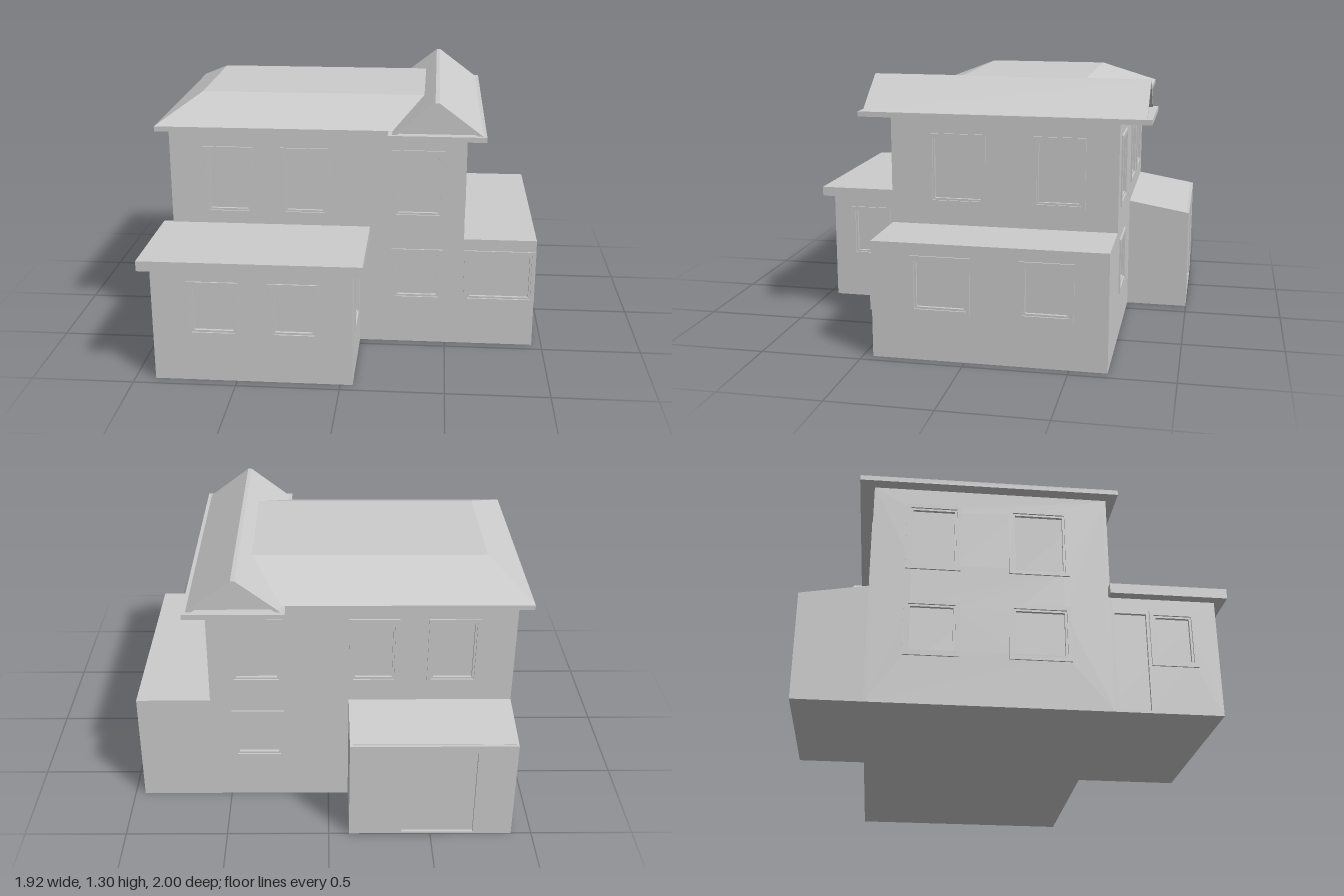
import * as THREE from 'three';

const material = new THREE.MeshStandardMaterial({ color: 0xcccccc, flatShading: true });
const DEPTH = 0.015; // thickness of the wall skin, and depth of window recesses

// Facing angles. Horizontal axis u of a wall: front x, back -x, left(+x) -z, right(-x) z
const FRONT = 0, BACK = Math.PI, LEFT = Math.PI / 2, RIGHT = -Math.PI / 2;

const rect = (u0, u1, v0, v1) => [[u0, v0], [u1, v0], [u1, v1], [u0, v1]];
const inset = ([u0, u1, v0, v1], d) => rect(u0 + d, u1 - d, v0 + d, v1 - d);
const toPoints = (pts) => pts.map(([u, v]) => new THREE.Vector2(u, v));

export function createModel() {
  const house = new THREE.Group();
  house.name = 'house';

  // Outline extruded along the facing direction, from distance a to distance b
  function prism(name, outline, facing, a, b, holes = []) {
    const shape = new THREE.Shape(toPoints(outline));
    for (const h of holes) shape.holes.push(new THREE.Path(toPoints(h)));
    const geometry = new THREE.ExtrudeGeometry(shape, { depth: b - a, bevelEnabled: false });
    geometry.translate(0, 0, a).rotateY(facing);
    const mesh = new THREE.Mesh(geometry, material);
    mesh.name = name;
    house.add(mesh);
  }

  function box(name, x0, x1, y0, y1, z0, z1) {
    const geometry = new THREE.BoxGeometry(x1 - x0, y1 - y0, z1 - z0);
    geometry.translate((x0 + x1) / 2, (y0 + y1) / 2, (z0 + z1) / 2);
    const mesh = new THREE.Mesh(geometry, material);
    mesh.name = name;
    house.add(mesh);
    return mesh;
  }

  // Wall skin with recessed windows and doors; each window gets a raised frame
  function wall(name, outline, facing, distance, windows = [], doors = []) {
    const holes = [...windows.map((w) => inset(w, 0.03)), ...doors.map((d) => rect(...d))];
    prism(name, outline, facing, distance - DEPTH, distance, holes);
    for (const w of windows) {
      prism('windowFrame', inset(w, 0), facing, distance - 0.002, distance + 0.008, [inset(w, 0.02)]);
    }
  }

  const UP = [0.68, 1.035], LOW = [0.235, 0.515];
  const columns = [[-0.73, -0.48], [-0.34, -0.1], [0.22, 0.48]];
  const sides = [[-0.52, -0.26], [-0.03, 0.26]];
  const row = (spans, heights) => spans.map((s) => [...s, ...heights]);
  const flip = (spans) => spans.map(([a, b]) => [-b, -a]);

  // Main two-storey block
  box('mainCore', -0.9 + DEPTH, 0.585 - DEPTH, 0, 1.12, -0.68 + DEPTH, 0.45 - DEPTH);
  wall('frontWall', rect(-0.9, 0.585, 0, 1.12), FRONT, 0.45,
    [...row(columns, UP), ...row([columns[2]], LOW)]);
  wall('backWall', rect(-0.585, 0.9, 0, 1.12), BACK, 0.68,
    [...row(flip(columns), UP), ...row(flip([columns[2]]), LOW)]);
  wall('leftWall', rect(-0.45, 0.68, 0, 1.12), LEFT, 0.585, row(flip(sides), UP));
  wall('rightWall', rect(-0.68, 0.45, 0, 1.12), RIGHT, 0.9, [...row(sides, UP), ...row(sides, LOW)]);

  // Single-storey front wing with its overhanging flat roof
  box('frontWingCore', -0.9 + DEPTH, 0.06 - DEPTH, 0, 0.58, 0.4, 0.95 - DEPTH);
  wall('frontWingFront', rect(-0.9, 0.06, 0, 0.58), FRONT, 0.95, row(columns.slice(0, 2), LOW));
  wall('frontWingLeft', rect(-0.95, -0.45, 0, 0.58), LEFT, 0.06, [[-0.85, -0.63, ...LOW]]);
  wall('frontWingRight', rect(0.45, 0.95, 0, 0.58), RIGHT, 0.9,
    [[0.63, 0.85, ...LOW]], [[0.465, 0.615, 0.01, 0.5]]);
  box('frontWingRoof', -0.95, 0.11, 0.58, 0.63, 0.44, 1);

  // Single-storey side wing
  box('sideWingCore', 0.5, 0.95 - DEPTH, 0, 0.575, -0.68 + DEPTH, 0.45 - DEPTH);
  wall('sideWingFront', rect(0.585, 0.95, 0, 0.575), FRONT, 0.45, [[0.59, 0.95, ...LOW]]);
  wall('sideWingBack', rect(-0.95, -0.585, 0, 0.575), BACK, 0.68);
  wall('sideWingLeft', rect(-0.45, 0.68, 0, 0.575), LEFT, 0.95, row(flip(sides), LOW));

  // Rear lean-to with a sloping roof and a wide door
  const slopeAt = (z) => 0.525 + (z + 1) * 0.172;
  const leanTo = (z0, z1) => [[z0, 0], [z1, 0], [z1, slopeAt(z1)], [z0, slopeAt(z0)]];
  prism('leanToCore', leanTo(-1 + DEPTH, -0.66), RIGHT, 0.1 + DEPTH, 0.9 - DEPTH);
  wall('leanToRight', leanTo(-1, -0.68), RIGHT, 0.9);
  wall('leanToLeft', leanTo(-1, -0.68).map(([z, y]) => [-z, y]).reverse(), LEFT, -0.1);
  wall('leanToBack', rect(0.1, 0.9, 0, 0.525), BACK, 1, [], [[0.36, 0.71, 0.01, 0.485]]);

  // Eaves slabs
  box('mainEaves', -0.96, 0.3, 1.12, 1.145, -0.75, 0.5);
  box('gableEaves', 0.2, 0.675, 1.12, 1.145, -0.835, 0.59);

  // Hipped main roof with a flat top, running into the gable roof
  const hip = box('hippedRoof', -0.96, 0.4, 1.145, 1.26, -0.75, 0.5);
  const p = hip.geometry.attributes.position;
  for (let i = 0; i < p.count; i++) {
    if (p.getY(i) < 1.2) continue;
    if (p.getX(i) < 0) p.setX(i, -0.77);
    p.setZ(i, p.getZ(i) < 0 ? -0.45 : 0.21);
  }
  hip.geometry.computeVertexNormals();

  // Gable roof: thin sloping sheets over a recessed triangular end
  prism('gableRoof', [[0.22, 1.145], [0.245, 1.145], [0.435, 1.288], [0.63, 1.145],
    [0.657, 1.145], [0.445, 1.304], [0.425, 1.304]], FRONT, -0.81, 0.57);
  prism('gableEnds', [[0.24, 1.14], [0.635, 1.14], [0.435, 1.292]], FRONT, -0.785, 0.545);

  return house;
}
